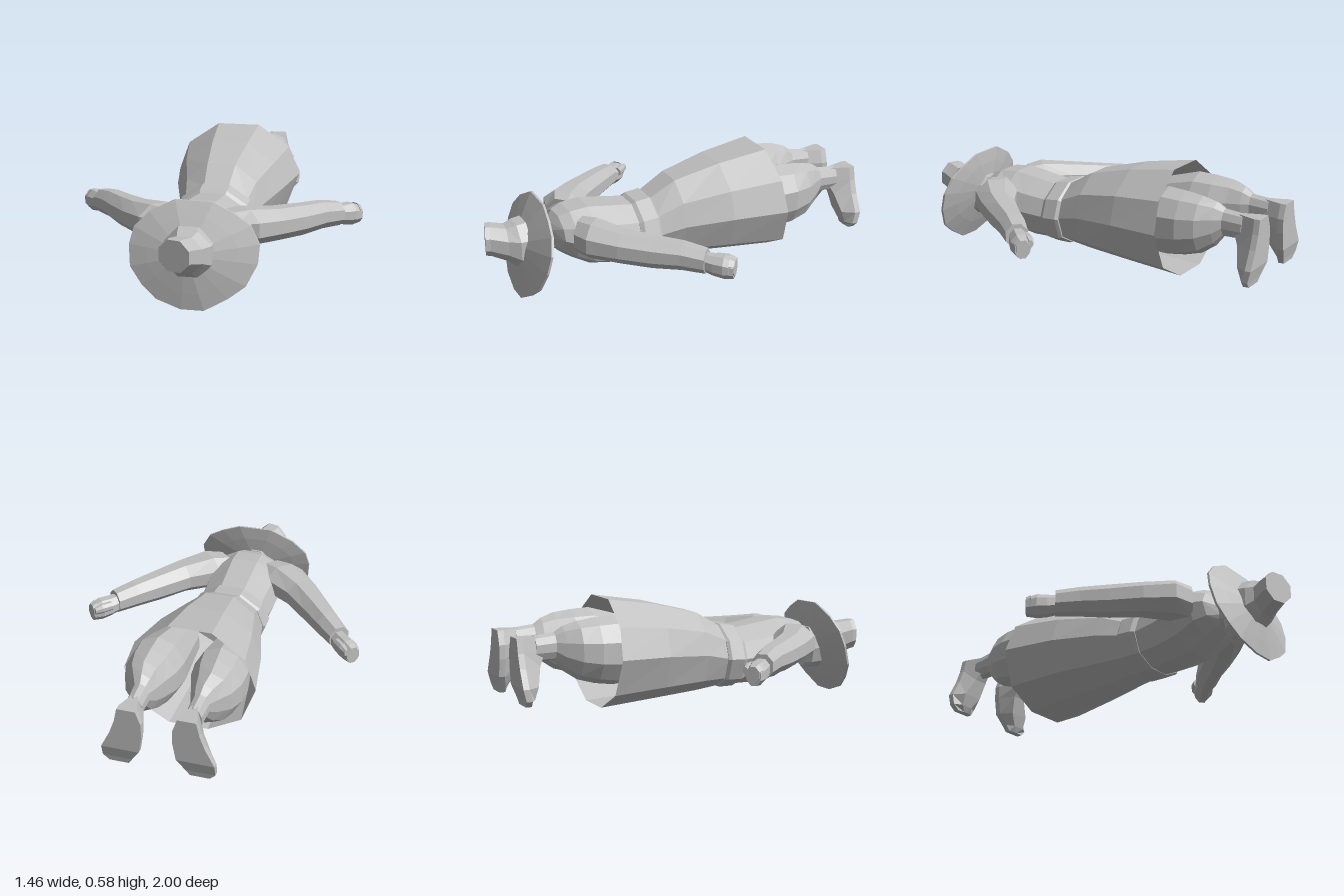
import * as THREE from 'three';

const V = (x, y, z) => new THREE.Vector3(x, y, z);

// ten-sided body outline, scaled to half width and a bottom/top height
const OUTLINE = [[1, 0], [.83, .57], [.33, 1], [-.33, 1], [-.83, .57],
  [-1, 0], [-.8, -.67], [-.3, -1], [.3, -1], [.8, -.67]];
const bodyRing = ([z, hw, y0, y1, tilt = 0, cx = 0]) => OUTLINE.map(([a, b]) =>
  V(cx + a * hw, (y0 + y1) / 2 + b * (y1 - y0) / 2, z + b * tilt));

// n-sided ring around a centre, spanned by direction u and the vertical
const limbRing = (c, u, ru, rv, n = 8) => Array.from({ length: n }, (_, i) => {
  const t = (i + .5) / n * Math.PI * 2;
  const k = 1.06;
  return c.clone().addScaledVector(u, Math.cos(t) * ru * k).add(V(0, Math.sin(t) * rv * k, 0));
});

// skin between rings of equal size, with end caps unless open
function loft(rings, capped = true) {
  const tris = [];
  const n = rings[0].length;
  for (let r = 0; r + 1 < rings.length; r++) {
    for (let i = 0; i < n; i++) {
      const j = (i + 1) % n, A = rings[r], B = rings[r + 1];
      tris.push([A[i], A[j], B[j]], [A[i], B[j], B[i]]);
    }
  }
  const last = rings[rings.length - 1];
  if (capped) {
    for (let i = 1; i + 1 < n; i++) {
      tris.push([rings[0][0], rings[0][i + 1], rings[0][i]], [last[0], last[i], last[i + 1]]);
    }
  }
  // turn the faces outward
  const mid = rings.flat().reduce((s, p) => s.add(p), V(0, 0, 0)).divideScalar(n * rings.length);
  let volume = 0;
  for (const [a, b, c] of tris) {
    volume += a.clone().sub(mid).dot(b.clone().sub(mid).cross(c.clone().sub(mid)));
  }
  const pos = [];
  for (const [a, b, c] of tris) {
    for (const p of volume < 0 ? [a, c, b] : [a, b, c]) pos.push(p.x, p.y, p.z);
  }
  const g = new THREE.BufferGeometry();
  g.setAttribute('position', new THREE.Float32BufferAttribute(pos, 3));
  g.computeVertexNormals();
  return g;
}

export function createModel() {
  const model = new THREE.Group();
  const grey = new THREE.MeshStandardMaterial({ color: 0xc0c0c0, flatShading: true, side: THREE.DoubleSide });
  grey.name = 'plain grey';
  const add = (name, rings, capped) => {
    const m = new THREE.Mesh(loft(rings, capped), grey);
    m.name = name;
    model.add(m);
  };

  // skirt, open at the slanted hem
  add('skirt', [[.14, .19, .09, .4], [0, .22, .075, .48], [-.24, .285, .06, .54],
    [-.52, .335, .04, .58, .02]].map(bodyRing), false);
  add('belt', [[.125, .2, .085, .4], [.14, .21, .08, .41], [.215, .207, .08, .4],
    [.235, .195, .088, .385]].map(bodyRing));
  add('torso', [[.22, .19, .09, .385], [.36, .2, .09, .405], [.47, .205, .11, .42],
    [.57, .2, .165, .41], [.625, .155, .2, .39], [.66, .07, .23, .35]].map(bodyRing));
  add('neck', [[.62, .07, .21, .35], [.72, .07, .2, .34]].map(bodyRing));
  add('head', [[.675, .05, .14, .28], [.7, .085, .13, .35], [.76, .1, .135, .37],
    [.82, .1, .15, .37]].map(bodyRing));
  add('nose', [limbRing(V(0, .16, .735), V(1, 0, 0), .025, .02, 4),
    limbRing(V(0, .13, .725), V(1, 0, 0), .015, .012, 4)]);

  // tilted, uneven hat brim with a thin rim
  const rim = [[.08, 0], [.19, .06], [.27, .12], [.32, .22], [.325, .31], [.28, .39], [.2, .44],
    [.1, .485], [-.08, .49], [-.2, .43], [-.27, .36], [-.29, .28], [-.28, .18], [-.22, .1],
    [-.15, .04], [-.03, 0]];
  const brimRing = (s, lift) => rim.map(([x, y]) => {
    const yy = .265 + (y - .265) * s;
    return V(x * s, yy, .838 - .26 * yy + lift);
  });
  add('hatBrim', [brimRing(.3, -.045), brimRing(.7, -.025), brimRing(1, -.005),
    brimRing(1, .006), brimRing(.7, .03), brimRing(.3, .06)]);

  // crooked hat crown, pinched in the middle and flared at its slanted end
  const crownRing = ([z, cx, cy, r, slant]) => limbRing(V(cx, cy, z), V(1, 0, 0), r, r, 8)
    .map(p => V(p.x, p.y, Math.min(1, z + (p.x - cx) * slant)));
  add('hatCrown', [[.79, 0, .268, .12, 0], [.84, .005, .268, .115, 0], [.885, 0, .28, .088, .1],
    [.955, -.025, .3, .078, .25], [.978, -.028, .302, .076, .27]].map(crownRing));

  for (const s of [1, -1]) {
    const side = s > 0 ? 'left' : 'right';
    const across = V(.74 * s, 0, .67);
    const arm = ([x, y, z, ru, rv]) => limbRing(V(x * s, y, z), across, ru, rv);

    // sleeve sweeps outward and toward the feet
    add(side + 'Arm', [[.13, .31, .54, .09, .085], [.21, .315, .5, .115, .09], [.335, .305, .4, .088, .08],
      [.44, .295, .28, .075, .076], [.53, .292, .17, .065, .068],
      [.61, .28, .085, .056, .06]].map(arm));
    add(side + 'Hand', [[.59, .275, .1, .04, .045], [.635, .265, .055, .048, .052],
      [.67, .262, .02, .05, .056], [.705, .255, -.015, .036, .045]].map(arm));
    add(side + 'Fingers', [[.69, .265, .0, .043, .048], [.705, .262, -.02, .034, .04]].map(arm));
    add(side + 'Thumb', [[.61, .285, .03, .022, .024], [.65, .285, -.015, .022, .025],
      [.676, .28, -.043, .012, .018]].map(arm));

    // leg from under the skirt to the ankle
    const leg = ([z, x, hw, y0, y1]) =>
      limbRing(V(x * s, (y0 + y1) / 2, z), V(1, 0, 0), hw, (y1 - y0) / 2, 10);
    add(side + 'Leg', [[-.2, .14, .09, .2, .42], [-.5, .158, .132, .175, .5], [-.6, .163, .126, .19, .495],
      [-.69, .165, .098, .215, .485], [-.76, .152, .065, .26, .465], [-.8, .147, .043, .31, .44],
      [-.9, .145, .04, .31, .43]].map(leg));

    // shoe with a flat sole, toe pointing down and outward
    const shoe = ([y, x0, x1, z0, zs]) => [[x0, zs], [x1, zs], [x1, zs + .03],
      [x1 - .04, z0], [x0 + .04, z0], [x0, zs + .03]].map(([x, z]) => V(x * s, y, z));
    add(side + 'Shoe', [[.43, .1, .19, -.85, -1], [.36, .075, .205, -.85, -1],
      [.29, .075, .23, -.885, -1], [.2, .09, .275, -.91, -1], [.14, .13, .275, -.93, -.985],
      [.11, .15, .245, -.945, -.98]].map(shoe));
  }
  return model;
}
